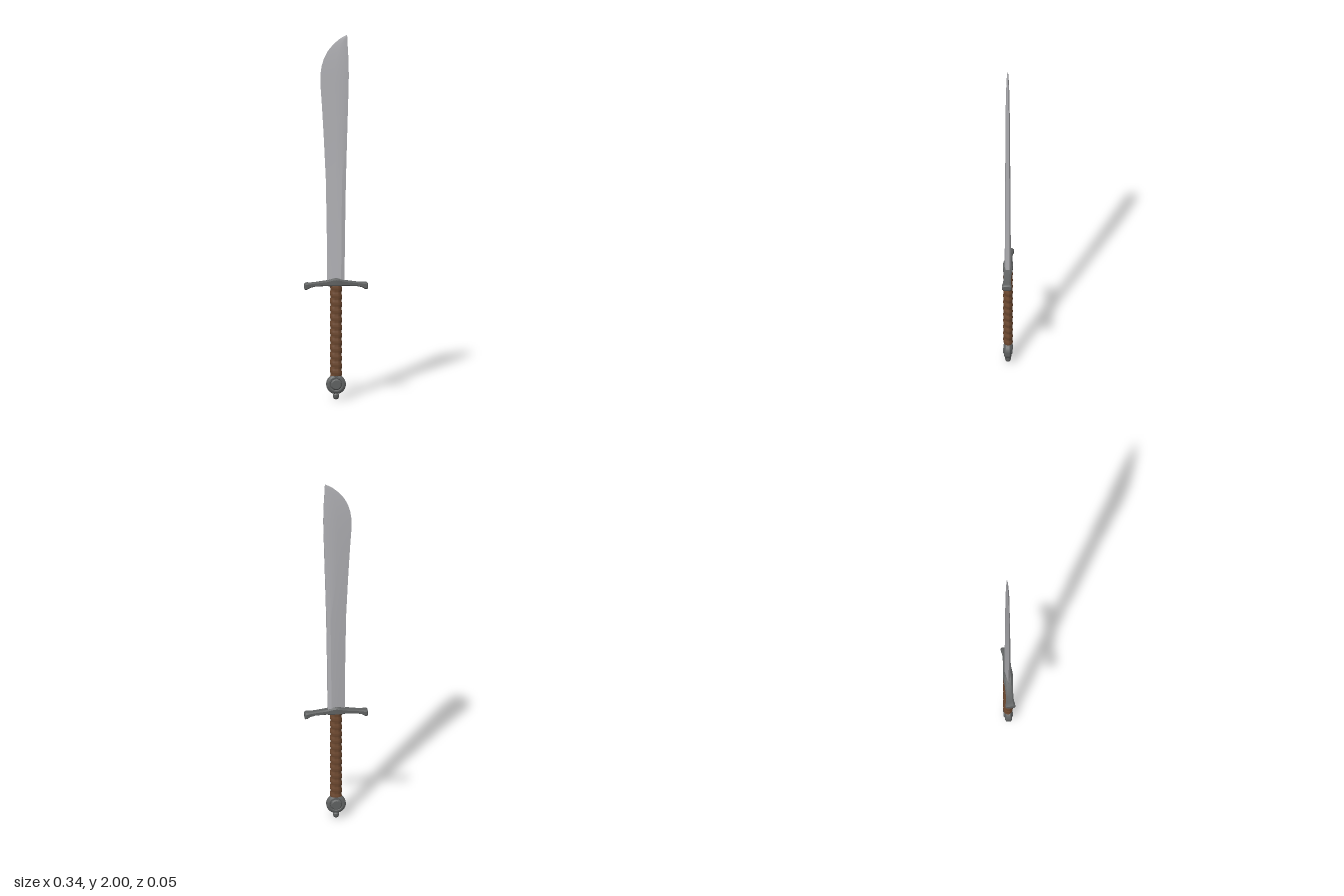
import * as THREE from 'three';
import { toCreasedNormals } from 'three/addons/utils/BufferGeometryUtils.js';

const mat = (color) => new THREE.MeshStandardMaterial({ color });
const steel = mat(0xb0b0b4), iron = mat(0x606262), leather = mat(0x6e4930);

// Skin a list of equal-length closed rings (counter-clockwise about the path) and cap both ends
function loft(rings, crease) {
  const n = rings[0].length, pos = rings.flat(2), idx = [];
  const last = rings.length - 1;
  for (let i = 0; i < last; i++) for (let j = 0; j < n; j++) {
    const a = i * n + j, b = i * n + (j + 1) % n;
    idx.push(a, b, b + n, a, b + n, a + n);
  }
  for (let j = 1; j < n - 1; j++) {
    idx.push(0, j + 1, j);
    idx.push(last * n, last * n + j, last * n + j + 1);
  }
  const g = new THREE.BufferGeometry();
  g.setAttribute('position', new THREE.Float32BufferAttribute(pos, 3));
  g.setIndex(idx);
  return toCreasedNormals(g, crease);
}

const lathe = (pts, segments = 32) => toCreasedNormals(
  new THREE.LatheGeometry(pts.map(([r, y]) => new THREE.Vector2(r, y)), segments), 0.5);

// Blade sections: y, cutting edge x, spine x, half thickness
function bladeGeometry() {
  const stations = [
    [0.64, -0.048, 0.045, 0.017], [0.9, -0.05, 0.048, 0.016], [1.2, -0.055, 0.053, 0.0145],
    [1.45, -0.067, 0.06, 0.013], [1.62, -0.077, 0.065, 0.012], [1.72, -0.084, 0.068, 0.011],
    [1.78, -0.085, 0.069, 0.0105], [1.83, -0.078, 0.068, 0.0095], [1.87, -0.066, 0.067, 0.0085],
    [1.91, -0.046, 0.065, 0.007], [1.945, -0.018, 0.063, 0.0055], [1.975, 0.015, 0.062, 0.004],
    [1.99, 0.038, 0.061, 0.003], [2.0, 0.059, 0.06, 0.001],
  ];
  return loft(stations.map(([y, l, r, t]) => {
    const w = r - l, side = [[l + 0.5 * w, 0.72 * t], [r - 0.2 * w, t], [r, 0.65 * t]];
    return [[l, y, 0], ...side.map(([x, z]) => [x, y, z]),
      ...side.reverse().map(([x, z]) => [x, y, -z])];
  }), 0.35);
}

// Guard sections from the centre outward: x, centre y, half height, half depth
function guardGeometry() {
  const half = [
    [0, 0.643, 0.025, 0.027], [0.02, 0.642, 0.021, 0.026], [0.05, 0.638, 0.014, 0.022],
    [0.11, 0.633, 0.011, 0.02], [0.14, 0.628, 0.013, 0.021], [0.156, 0.624, 0.018, 0.026],
    [0.167, 0.622, 0.018, 0.026], [0.172, 0.622, 0.013, 0.021],
  ];
  const mirrored = half.slice(1).reverse().map(([x, ...rest]) => [-x, ...rest]);
  const corners = [[1, -0.6], [1, 0.6], [0.6, 1], [-0.6, 1], [-1, 0.6], [-1, -0.6], [-0.6, -1], [0.6, -1]];
  return loft([...mirrored, ...half].map(([x, cy, hy, hz]) =>
    corners.map(([u, v]) => [x, cy + u * hy, v * hz])), 0.5);
}

// Oval grip with a spiral leather wrap
function gripGeometry() {
  const turns = 12, steps = turns * 8, sides = 28, rings = [];
  for (let i = 0; i <= steps; i++) {
    const v = i / steps, ring = [];
    for (let j = 0; j < sides; j++) {
      const a = j / sides * Math.PI * 2;
      const bump = 0.87 + 0.14 * Math.abs(Math.sin(Math.PI * turns * v + a / 2));
      ring.push([0.033 * bump * Math.sin(a), 0.13 + 0.505 * v, 0.026 * bump * Math.cos(a)]);
    }
    rings.push(ring);
  }
  return loft(rings, 0.7);
}

export function createModel() {
  const model = new THREE.Group();
  model.name = 'sword';
  const add = (name, geometry, material, parent = model) => {
    const mesh = new THREE.Mesh(geometry, material);
    mesh.name = name;
    parent.add(mesh);
    return mesh;
  };

  add('blade', bladeGeometry(), steel);
  add('guard', guardGeometry(), iron);
  add('grip', gripGeometry(), leather);

  // Pommel: a disc with a raised boss on both faces, a neck and an end nub
  const pommel = new THREE.Group();
  pommel.name = 'pommel';
  model.add(pommel);
  const face = [[0.053, 0.009], [0.05, 0.014], [0.041, 0.019], [0.034, 0.019],
    [0.031, 0.016], [0.028, 0.022], [0.024, 0.025], [0, 0.025]];
  const back = face.map(([r, z]) => [r, -z]).reverse();
  const disc = add('pommelDisc', lathe([...back, ...face], 40), iron, pommel);
  disc.rotation.x = Math.PI / 2;
  disc.position.y = 0.083;
  add('pommelNeck', lathe([[0, 0.11], [0.018, 0.11], [0.021, 0.132], [0.021, 0.138], [0, 0.138]]), iron, pommel);
  add('pommelNub', lathe([[0, 0], [0.008, 0.001], [0.014, 0.007], [0.017, 0.016],
    [0.017, 0.026], [0.013, 0.033], [0.013, 0.045], [0, 0.045]], 20), iron, pommel);

  return model;
}
